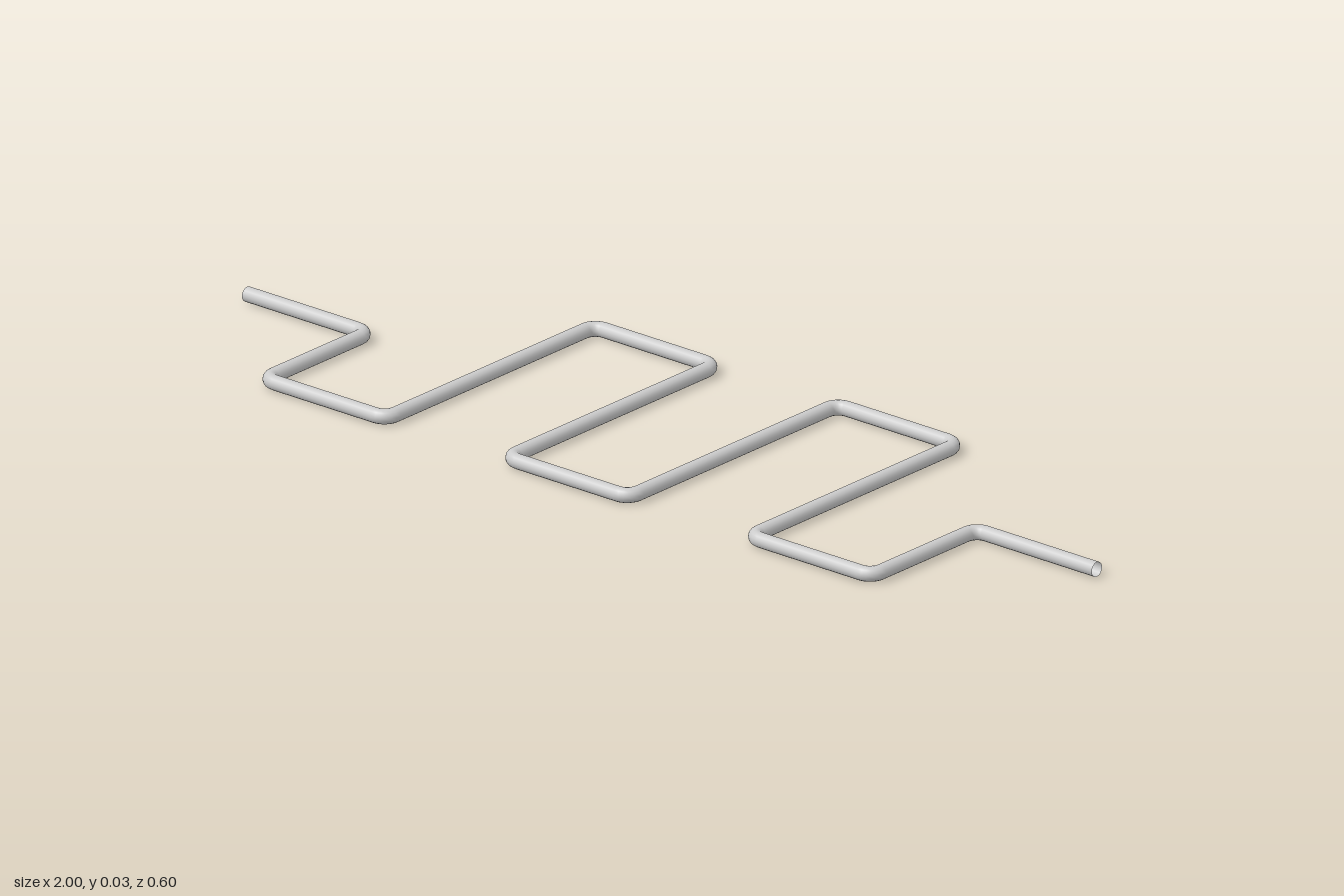
import * as THREE from 'three';

const STEP = 2 / 7;         // spacing of the meander
const RADIUS = 0.0142;      // tube radius
const BEND = 0.025;         // centre-line radius of each bend
const BEND_STEPS = 6;

// Curve whose samples are exactly the given points and tangents
class SampledPath extends THREE.Curve {
  constructor(points, tangents) {
    super();
    this.points = points;
    this.tangents = tangents;
  }
  index(u) { return Math.round(u * (this.points.length - 1)); }
  getPoint(u, target = new THREE.Vector3()) { return target.copy(this.points[this.index(u)]); }
  getPointAt(u, target) { return this.getPoint(u, target); }
  getTangentAt(u, target = new THREE.Vector3()) { return target.copy(this.tangents[this.index(u)]); }
}

// Straight runs joined by circular right-angle bends
function bentPath(corners) {
  const points = [], tangents = [];
  const last = corners.length - 1;
  const dir = (i) => corners[i + 1].clone().sub(corners[i]).normalize();
  points.push(corners[0]);
  tangents.push(dir(0));
  for (let i = 1; i < last; i++) {
    const a = dir(i - 1), b = dir(i);
    const centre = corners[i].clone().addScaledVector(a, -BEND).addScaledVector(b, BEND);
    for (let k = 0; k <= BEND_STEPS; k++) {
      const t = (k / BEND_STEPS) * Math.PI / 2;
      const s = Math.sin(t), c = Math.cos(t);
      points.push(centre.clone().addScaledVector(a, BEND * s).addScaledVector(b, -BEND * c));
      tangents.push(a.clone().multiplyScalar(c).addScaledVector(b, s));
    }
  }
  points.push(corners[last]);
  tangents.push(dir(last - 1));
  return new SampledPath(points, tangents);
}

export function createModel() {
  const group = new THREE.Group();
  group.name = 'serpentinePipe';

  // Square meander: straight ends at z = 0, legs alternating front and back
  const levels = [0, 1, -1, 1, -1, 1, 0];
  const corners = [];
  levels.forEach((level, i) => {
    const x = -1 + i * STEP;
    corners.push(new THREE.Vector3(x, RADIUS, level * STEP));
    corners.push(new THREE.Vector3(x + STEP, RADIUS, level * STEP));
  });

  // Open-ended tube
  const path = bentPath(corners);
  const pipe = new THREE.Mesh(
    new THREE.TubeGeometry(path, path.points.length - 1, RADIUS, 16, false),
    new THREE.MeshStandardMaterial({ color: 0xcccccc, side: THREE.DoubleSide })
  );
  pipe.name = 'pipe';
  group.add(pipe);
  return group;
}
